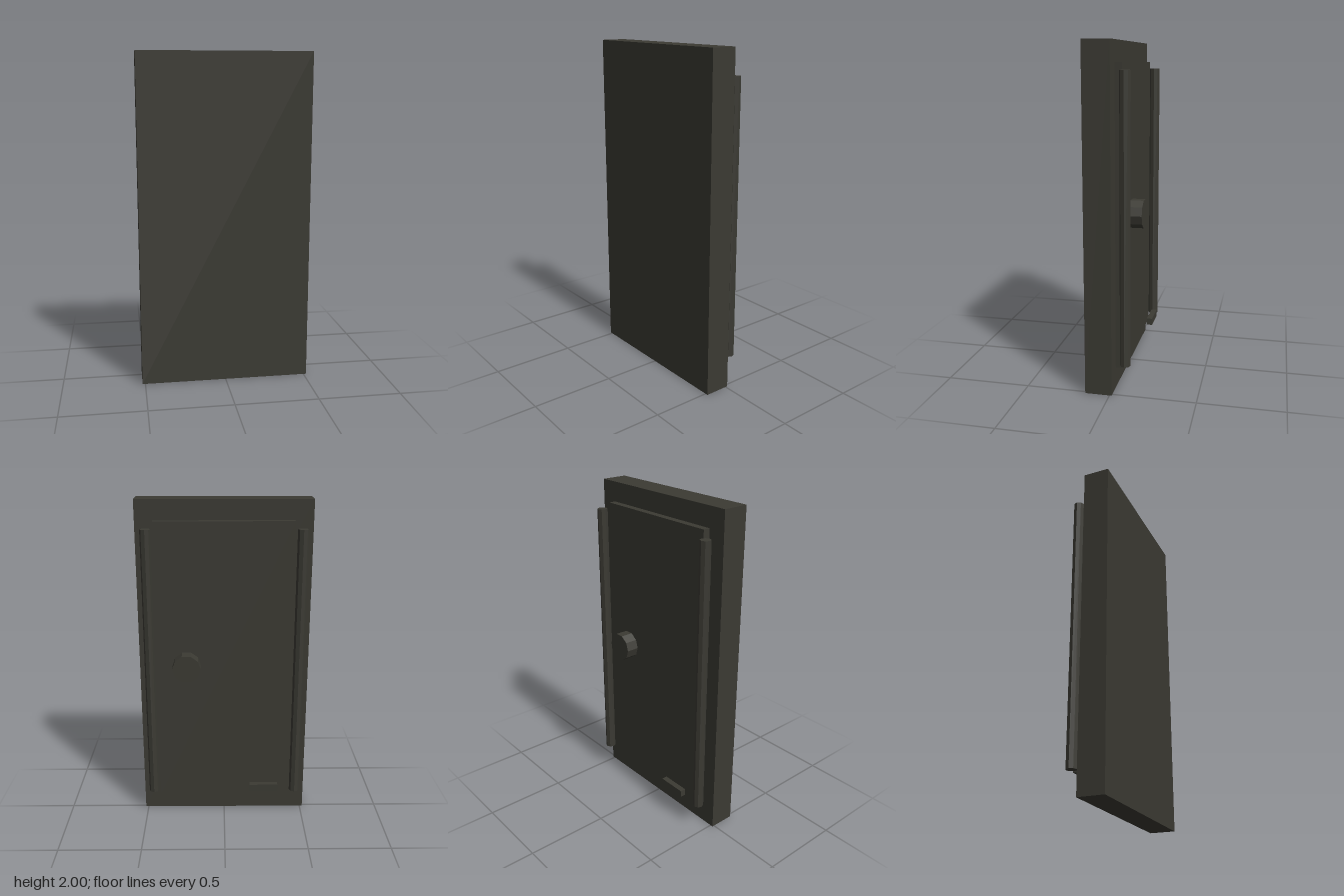
import * as THREE from 'three';

export function createModel() {
  const group = new THREE.Group();
  const darkMetal = new THREE.MeshStandardMaterial({ color: 0x3b3a33, flatShading: true });
  darkMetal.name = 'dark metal';

  const add = (name, geometry, x, y, z) => {
    const mesh = new THREE.Mesh(geometry, darkMetal);
    mesh.name = name;
    mesh.position.set(x, y, z);
    group.add(mesh);
  };

  // Main slab and the raised panel on its back
  add('slab', new THREE.BoxGeometry(1.034, 2, 0.157), 0, 1, 0.0655);
  add('backPanel', new THREE.BoxGeometry(0.82, 1.754, 0.042), 0, 1.004, -0.034);

  // Eight-sided rods down both sides
  for (const side of [-1, 1]) {
    const name = side > 0 ? 'leftRod' : 'rightRod';
    add(name, new THREE.CylinderGeometry(0.0315, 0.0315, 1.676, 8), side * 0.45, 1.002, -0.079);
  }

  // Ten-sided knob with corners pointing sideways
  const knob = new THREE.CylinderGeometry(0.0855, 0.0855, 0.077, 10);
  knob.rotateX(Math.PI / 2).rotateZ(Math.PI / 2);
  add('knob', knob, 0.227, 1.017, -0.1065);

  // Small bar near the bottom
  add('lowerBar', new THREE.BoxGeometry(0.178, 0.042, 0.035), -0.251, 0.201, -0.1065);

  return group;
}
